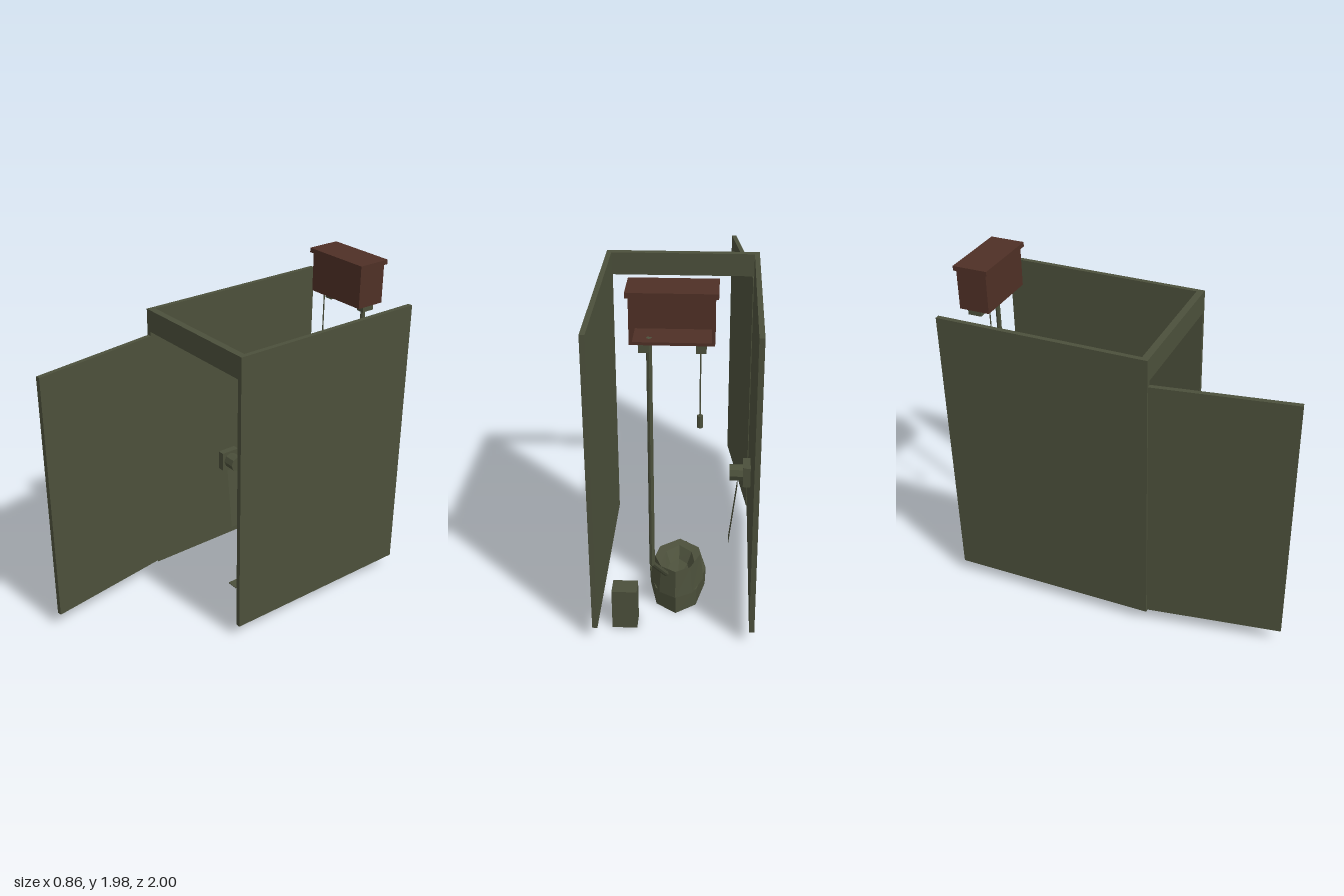
import * as THREE from 'three';

const green = new THREE.MeshStandardMaterial({ color: 0x4c503b, side: THREE.DoubleSide });
green.name = 'olive green';
const brown = new THREE.MeshStandardMaterial({ color: 0x4f3026 });
brown.name = 'dark brown';

// Faceted loft through elliptical rings [rx, rz, y], over a range of angles
function loft(rings, a0, a1, segments) {
  const pos = [], index = [];
  for (const [rx, rz, y] of rings) {
    for (let j = 0; j <= segments; j++) {
      const a = a0 + (a1 - a0) * j / segments;
      pos.push(rx * Math.sin(a), y, rz * Math.cos(a));
    }
  }
  const n = segments + 1;
  for (let i = 0; i < rings.length - 1; i++) {
    for (let j = 0; j < segments; j++) {
      const a = i * n + j, b = a + 1, c = b + n, d = a + n;
      index.push(a, b, c, a, c, d);
    }
  }
  const geo = new THREE.BufferGeometry();
  geo.setAttribute('position', new THREE.Float32BufferAttribute(pos, 3));
  geo.setIndex(index);
  return flat(geo);
}

function flat(geo) {
  const out = geo.index ? geo.toNonIndexed() : geo;
  out.computeVertexNormals();
  return out;
}

export function createModel() {
  const group = new THREE.Group();

  function add(name, geo, material, x = 0, y = 0, z = 0) {
    const mesh = new THREE.Mesh(geo, material);
    mesh.name = name;
    mesh.position.set(x, y, z);
    group.add(mesh);
    return mesh;
  }

  // Box given by its limits on each axis
  function box(name, material, x0, x1, y0, y1, z0, z1) {
    return add(name, new THREE.BoxGeometry(x1 - x0, y1 - y0, z1 - z0), material,
      (x0 + x1) / 2, (y0 + y1) / 2, (z0 + z1) / 2);
  }

  // Straight faceted rod between two points
  function rod(name, from, to, radius, sides) {
    const a = new THREE.Vector3(...from), b = new THREE.Vector3(...to);
    const dir = b.clone().sub(a);
    const mesh = add(name, flat(new THREE.CylinderGeometry(radius, radius, dir.length(), sides)), green);
    mesh.position.copy(a).add(b).multiplyScalar(0.5);
    mesh.quaternion.setFromUnitVectors(new THREE.Vector3(0, 1, 0), dir.normalize());
    return mesh;
  }

  // Stall
  box('leftWall', green, 0.402, 0.43, 0.08, 1.77, -1, 0.22);
  box('rightWall', green, -0.43, -0.402, 0.08, 1.77, -1, 0.22);
  box('frontBeam', green, -0.402, 0.402, 1.64, 1.77, 0.18, 0.22);

  // Door standing open, hinged on the right wall
  const dx = 0.122, dz = 0.776;
  const door = add('door', new THREE.BoxGeometry(0.027, 1.52, Math.hypot(dx, dz)), green,
    -0.35, 0.855, 0.608);
  door.rotation.y = Math.atan2(dx, dz);

  // Cistern, open at the back
  box('cisternLid', brown, -0.215, 0.215, 1.953, 1.98, -1, -0.795);
  box('cisternFront', brown, -0.2, 0.2, 1.72, 1.953, -0.825, -0.81);
  box('cisternFloor', brown, -0.2, 0.2, 1.72, 1.735, -0.99, -0.825);
  for (const s of [-1, 1]) {
    const side = s < 0 ? 'Right' : 'Left';
    const x = s * 0.1925;
    box('cistern' + side + 'Side', brown, x - 0.0075, x + 0.0075, 1.735, 1.953, -0.99, -0.825);
    box('cistern' + side + 'Bracket', green, s * 0.135 - 0.025, s * 0.135 + 0.025, 1.67, 1.72, -0.965, -0.885);
  }

  // Flush pipe and pull chain
  rod('flushPipe', [0.11, 1.735, -0.935], [0.11, 0.455, -0.935], 0.014, 8);
  rod('flushPipeElbow', [0.11, 0.462, -0.938], [0.05, 0.25, -0.735], 0.014, 8);
  rod('pullChain', [-0.13, 1.72, -0.845], [-0.13, 1.28, -0.845], 0.004, 6);
  rod('chainHandle', [-0.13, 1.285, -0.845], [-0.13, 1.22, -0.845], 0.015, 8);

  // Squat bowl: base, outer wall, rim and sunken basin
  add('bowl', loft([
    [0.12, 0.24, 0], [0.155, 0.28, 0], [0.16, 0.285, 0.11],
    [0.105, 0.225, 0.105], [0.07, 0.165, 0.05], [0, 0, 0.025],
  ], 0, Math.PI * 2, 8), green, 0, 0, -0.475);
  add('bowlHood', loft([[0.158, 0.283, 0.105], [0.14, 0.27, 0.27]], 1.91, 4.37, 4), green, 0, 0, -0.475);

  // Bin beside the bowl and floor drain
  box('bin', green, 0.2, 0.335, 0, 0.235, -0.89, -0.785);
  box('floorDrain', green, -0.036, 0.036, 0, 0.005, -0.13, -0.06);

  // Paper roll on the right wall with a hanging strip
  box('rollMount', green, -0.405, -0.36, 0.595, 0.715, -0.38, -0.26);
  rod('paperRoll', [-0.365, 0.655, -0.32], [-0.285, 0.655, -0.32], 0.048, 8);
  const strip = add('paperStrip', new THREE.PlaneGeometry(0.09, 0.403), green, -0.309, 0.405, -0.32);
  strip.rotation.order = 'ZYX';
  strip.rotation.set(0, Math.PI / 2, 0.115);

  return group;
}
